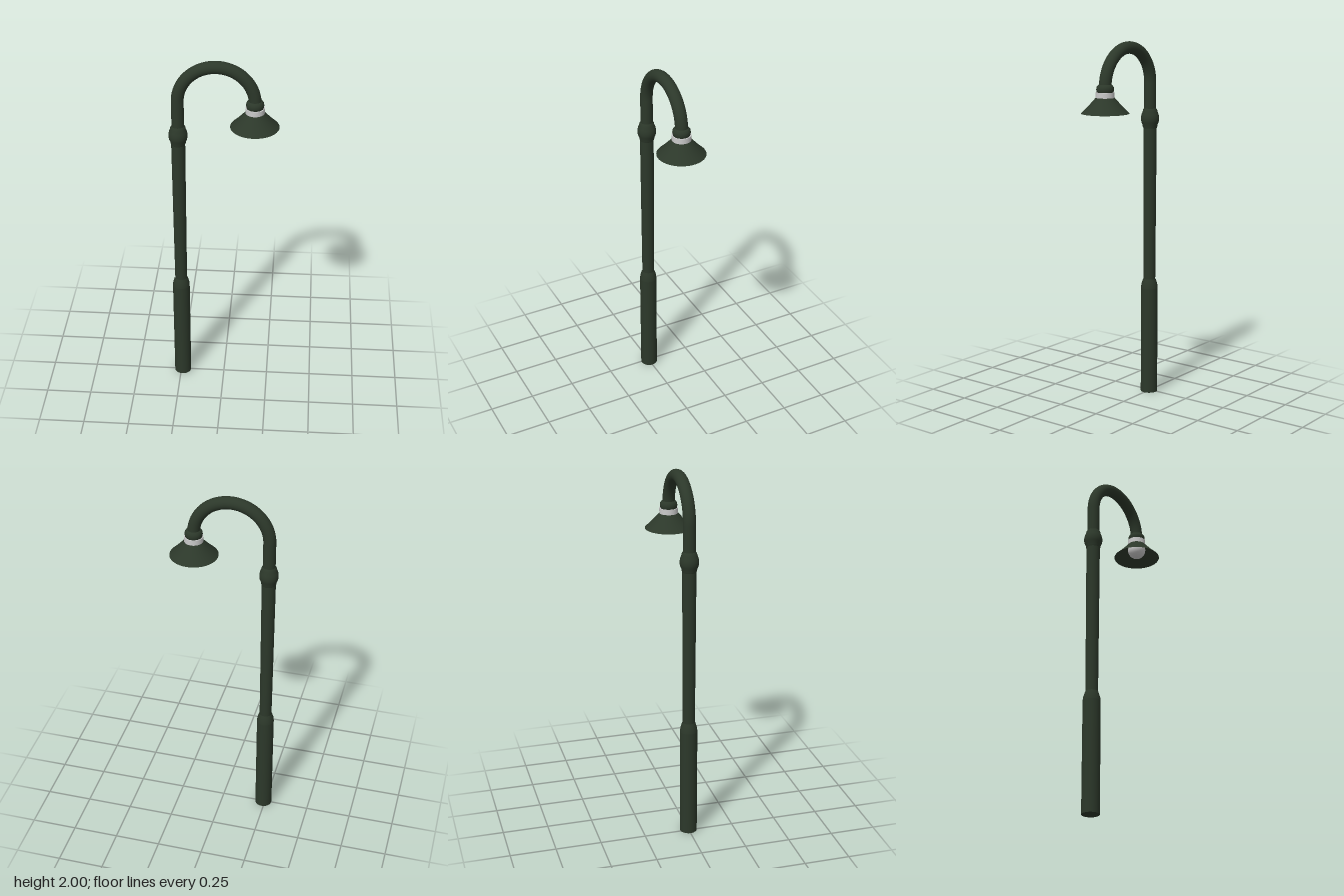
import * as THREE from 'three';

const POLE_X = -0.24, LAMP_X = 0.16, SPRING_Y = 1.767;

export function createModel() {
  const group = new THREE.Group();
  const green = new THREE.MeshStandardMaterial({ color: 0x2c382a });
  const shadeGreen = new THREE.MeshStandardMaterial({ color: 0x2c382a, side: THREE.DoubleSide });
  const grey = new THREE.MeshStandardMaterial({ color: 0xcccccc });

  const add = (name, geometry, material, x = 0, y = 0) => {
    const mesh = new THREE.Mesh(geometry, material);
    mesh.name = name;
    mesh.position.set(x, y, 0);
    group.add(mesh);
  };
  // Turned part from [radius, height] pairs, bottom to top
  const turned = (name, profile, x, material = green) =>
    add(name, new THREE.LatheGeometry(profile.map(([r, y]) => new THREE.Vector2(r, y)), 40), material, x);

  // Thick lower sleeve with a rounded shoulder
  add('baseSleeve', new THREE.CylinderGeometry(0.047, 0.047, 0.61, 40), green, POLE_X, 0.305);
  turned('baseShoulder', [[0.047, 0.61], [0.045, 0.63], [0.039, 0.65], [0.034, 0.664]], POLE_X);

  // Slightly flaring pole and its bulging collar
  add('pole', new THREE.CylinderGeometry(0.037, 0.033, 0.9, 40), green, POLE_X, 1.09);
  turned('poleCollar', [
    [0.036, 1.515], [0.040, 1.525], [0.041, 1.535], [0.047, 1.548], [0.05, 1.562],
    [0.05, 1.577], [0.047, 1.592], [0.041, 1.607], [0.039, 1.618], [0.033, 1.626],
  ], POLE_X);

  // Swan-neck arm: straight riser, then a half circle
  const arm = new THREE.CurvePath();
  arm.add(new THREE.LineCurve3(
    new THREE.Vector3(POLE_X, 1.6, 0), new THREE.Vector3(POLE_X, SPRING_Y, 0)));
  class Arch extends THREE.Curve {
    getPoint(t, target = new THREE.Vector3()) {
      const a = Math.PI * (1 - t);
      return target.set(-0.04 + 0.2 * Math.cos(a), SPRING_Y + 0.2 * Math.sin(a), 0);
    }
  }
  arm.add(new Arch());
  add('arm', new THREE.TubeGeometry(arm, 72, 0.033, 28), green);

  // Lamp: rounded cap, pale neck ring, flared shade and globe bulb
  turned('lampCap', [
    [0, 1.735], [0.038, 1.735], [0.044, 1.745], [0.047, 1.76],
    [0.045, 1.773], [0.038, 1.783], [0.03, 1.787], [0, 1.787],
  ], LAMP_X);
  add('neckRing', new THREE.CylinderGeometry(0.05, 0.05, 0.033, 40), grey, LAMP_X, 1.729);
  turned('shade', [
    [0.128, 1.635], [0.105, 1.657], [0.083, 1.68], [0.064, 1.701], [0.05, 1.717],
  ], LAMP_X, shadeGreen);
  add('bulb', new THREE.SphereGeometry(0.05, 32, 20), grey, LAMP_X, 1.684);

  return group;
}
